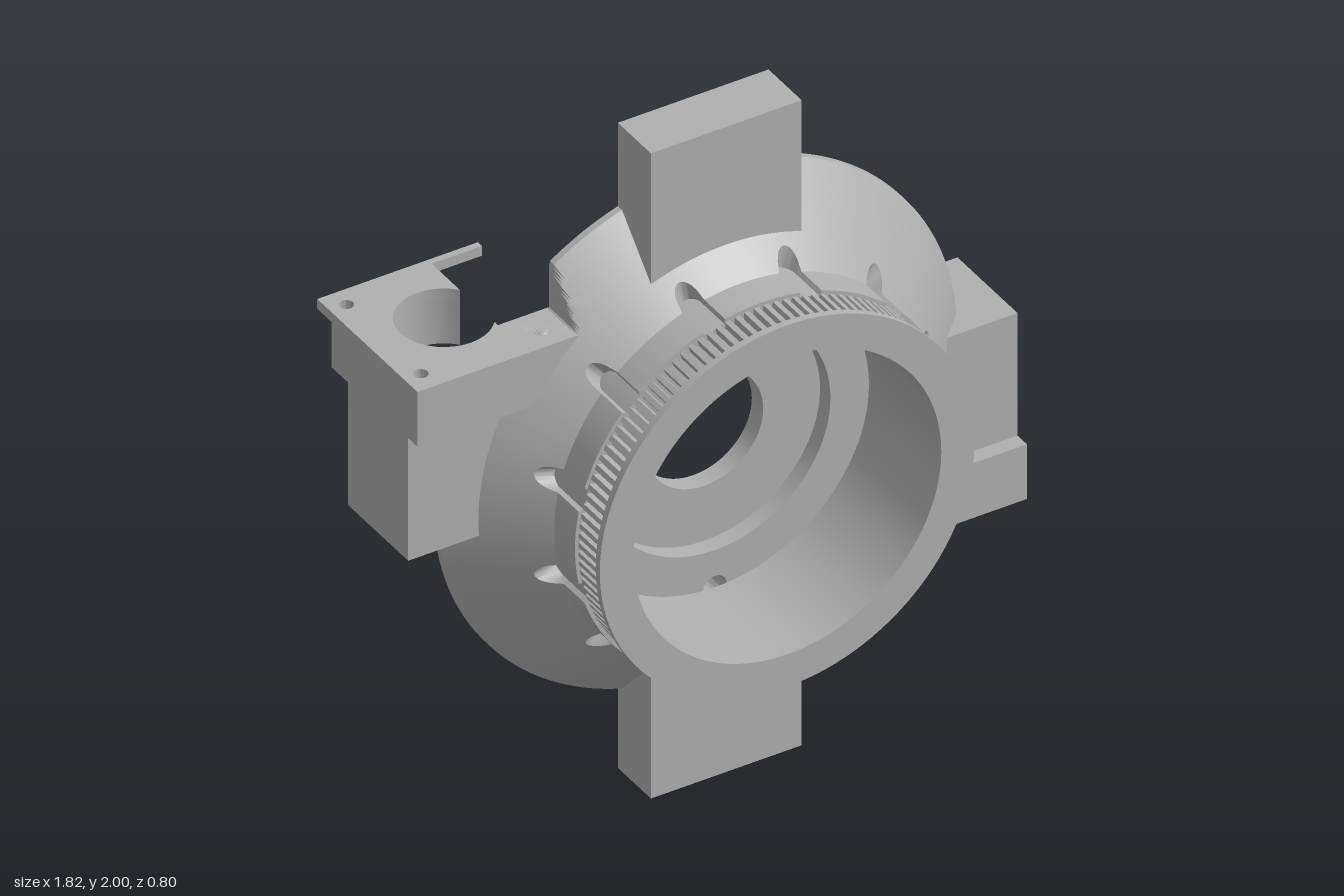
import * as THREE from 'three';
import { toCreasedNormals } from 'three/addons/utils/BufferGeometryUtils.js';

const grey = new THREE.MeshStandardMaterial({ color: 0xb0b0b0 });
grey.name = 'plain grey';

const CUT_X = 0.43, CUT_Y = 0.5; // corner notches beside the two brackets
const BACK = -0.055, RIM = 0.775;

function add(parent, name, geometry, smooth = true) {
  const mesh = new THREE.Mesh(smooth ? toCreasedNormals(geometry, 0.5) : geometry, grey);
  mesh.name = name;
  parent.add(mesh);
  return mesh;
}

function circle(x, y, r) {
  return new THREE.Path().absarc(x, y, r, 0, Math.PI * 2, true);
}

function disc(r, holes) {
  const s = new THREE.Shape().absarc(0, 0, r, 0, Math.PI * 2, false);
  s.holes.push(...holes);
  return s;
}

function slab(shape, z0, z1) {
  return new THREE.ExtrudeGeometry(shape, { depth: z1 - z0, bevelEnabled: false, curveSegments: 48 }).translate(0, 0, z0);
}

// Extrudes an outline given as [x, z] points upwards from y0 to y1
function upright(points, y0, y1, holes = []) {
  const s = new THREE.Shape(points.map(([x, z]) => new THREE.Vector2(x, -z)));
  s.holes.push(...holes.map(([x, z, r]) => circle(x, -z, r)));
  return new THREE.ExtrudeGeometry(s, { depth: y1 - y0, bevelEnabled: false, curveSegments: 16 })
    .rotateX(-Math.PI / 2).translate(0, y0, 0);
}

function arc(cx, cz, r, from, to, n = 28) {
  return Array.from({ length: n + 1 }, (_, i) => {
    const t = THREE.MathUtils.degToRad(from + (to - from) * i / n);
    return [cx + r * Math.cos(t), cz + r * Math.sin(t)];
  });
}

// Radius at an angle, limited by the corner notches at lower +x and upper -x
function clip(r, t) {
  const c = Math.cos(t), s = Math.sin(t);
  if (c * s >= 0) return r;
  return Math.min(r, Math.max(CUT_X / Math.abs(c), CUT_Y / Math.abs(s)));
}

// Conical flange and collar with twelve round-ended grooves
function flangeGeometry() {
  const n = 720, step = Math.PI / 6, halfWidth = 0.034, floor = 0.546;
  const cone = z => Math.min(RIM, 0.74 - z);
  const pos = [], index = [];
  let layers;
  for (let i = 0; i <= n; i++) {
    const t = i / n * Math.PI * 2;
    const d = (t % step - step / 2) * 0.58 / halfWidth;
    const inGroove = Math.abs(d) < 1;
    const zg = inGroove ? 0.13 + 0.05 * (1 - Math.sqrt(1 - d * d)) : 0.18;
    const rg = inGroove ? floor : 0.56;
    const rings = [BACK, -0.035, 0, 0.03, 0.055, 0.08, 0.1, zg].map(z => [cone(z), z]);
    rings.push([rg, zg], [rg, 0.19], [rg, 0.28], [0.5, 0.28]);
    layers = rings.length;
    for (const [r, z] of rings) {
      const q = clip(r, t);
      pos.push(q * Math.cos(t), q * Math.sin(t), z);
    }
  }
  for (let i = 0; i < n; i++) for (let j = 0; j < layers - 1; j++) {
    const a = i * layers + j, b = a + layers;
    index.push(a, b, b + 1, a, b + 1, a + 1);
  }
  const g = new THREE.BufferGeometry();
  g.setAttribute('position', new THREE.Float32BufferAttribute(pos, 3));
  g.setIndex(index);
  return g.toNonIndexed();
}

function backFaceGeometry() {
  const pts = [];
  for (let i = 0; i < 720; i++) {
    const t = i / 720 * Math.PI * 2, r = clip(RIM, t);
    pts.push(new THREE.Vector2(r * Math.cos(t), r * Math.sin(t)));
  }
  const s = new THREE.Shape(pts);
  s.holes.push(circle(0, 0, 0.5));
  return new THREE.ShapeGeometry(s, 48).rotateY(Math.PI).scale(1, 1, 1);
}

function gearGeometry() {
  const teeth = 120, pts = [];
  for (let i = 0; i < teeth; i++) {
    [[0, 0.53], [0.3, 0.53], [0.4, 0.55], [0.9, 0.55]].forEach(([f, r]) => {
      const t = (i + f) / teeth * Math.PI * 2;
      pts.push(new THREE.Vector2(r * Math.cos(t), r * Math.sin(t)));
    });
  }
  const s = new THREE.Shape(pts);
  s.holes.push(circle(0, 0, 0.5));
  return slab(s, 0.28, 0.38);
}

// Motor bracket at the lower +x side, relative to the hub centre
function makeBracket() {
  const g = new THREE.Group();
  const cx = 0.68, cz = -0.16;
  const seat = arc(cx, cz, 0.13, -140, 140);
  const foot = [[0.58, -0.06], [CUT_X, -0.06], [CUT_X, 0.085], [0.91, 0.085]];
  add(g, 'bracketPlate', upright(
    [...seat, ...foot, [0.91, -0.4], [CUT_X, -0.4], [CUT_X, -0.38], [0.58, -0.38]],
    -0.5, -0.47, [[0.86, -0.34, 0.02], [0.86, 0.02, 0.02], [0.5, 0.02, 0.02]]));
  add(g, 'bracketBase', upright([...seat, ...foot, [0.91, -0.33], [0.58, -0.33]], -0.47, -0.33));
  // Upright body with a channel that narrows above the motor seat
  const body = r => [[0.91, 0.04], [0.91, -0.25], [cx + r, -0.25],
    ...arc(cx, cz, r, 0, r > 0.11 ? 140 : 150), [0.58, 0.04]];
  add(g, 'bracketSeatWall', upright(body(0.13), -0.33, -0.25));
  add(g, 'bracketBody', upright(body(0.1), -0.25, 0.05));
  add(g, 'shaftTab', upright([[0.58, -0.25], [0.79, -0.25], [0.79, -0.05], [0.58, -0.05]],
    -0.135, -0.09, [[cx, cz, 0.05]]));
  return g;
}

export function createModel() {
  const model = new THREE.Group();
  const hub = new THREE.Group();
  hub.name = 'hub';
  hub.position.y = 1;
  model.add(hub);

  add(hub, 'flange', flangeGeometry());
  // Turned about the vertical axis, the outline also mirrors in x, so mirror it back in y by a half turn
  const back = backFaceGeometry();
  const p = back.attributes.position;
  for (let i = 0; i < p.count; i++) p.setXYZ(i, -p.getX(i), p.getY(i), BACK);
  const idx = back.index.array;
  for (let i = 0; i < idx.length; i += 3) [idx[i + 1], idx[i + 2]] = [idx[i + 2], idx[i + 1]];
  back.computeVertexNormals();
  add(hub, 'backFace', back, false);

  // Floor and ledge with two through holes
  const bolts = () => [circle(0, 0.46, 0.035), circle(0, -0.46, 0.035)];
  add(hub, 'floor', slab(disc(0.5, [circle(0, 0, 0.175), ...bolts()]), BACK, 0));
  const ledge = disc(0.5, [circle(0, 0, 0.345), ...bolts()]);
  add(hub, 'ledge', slab(ledge, 0, 0.05));

  // Hollow drum with front lip
  const profile = [[0.46, 0.05], [0.53, 0.05], [0.53, 0.38], [0.56, 0.38], [0.56, 0.4], [0.46, 0.4], [0.46, 0.05]];
  add(hub, 'drum', new THREE.LatheGeometry(profile.map(([r, z]) => new THREE.Vector2(r, z)), 120).rotateX(Math.PI / 2));
  add(hub, 'gearTeeth', gearGeometry(), false);

  // Mounting blocks with blind screw holes, and motor brackets, in half-turn symmetry
  for (const turn of [0, Math.PI]) {
    const side = new THREE.Group();
    side.name = turn ? 'upperBracketSide' : 'lowerBracketSide';
    side.rotation.z = turn;
    const s = new THREE.Shape([[-0.225, 0.58], [0.225, 0.58], [0.225, 1], [-0.225, 1]].map(q => new THREE.Vector2(...q)));
    s.holes.push(circle(0, 0.86, 0.032));
    add(side, 'mountingBlockBack', slab(s, BACK, 0.05));
    add(side, 'mountingBlockFront', new THREE.BoxGeometry(0.45, 0.42, 0.055).translate(0, 0.79, 0.0775), false);
    const bracket = makeBracket();
    bracket.name = 'motorBracket';
    side.add(bracket);
    hub.add(side);
  }
  return model;
}
